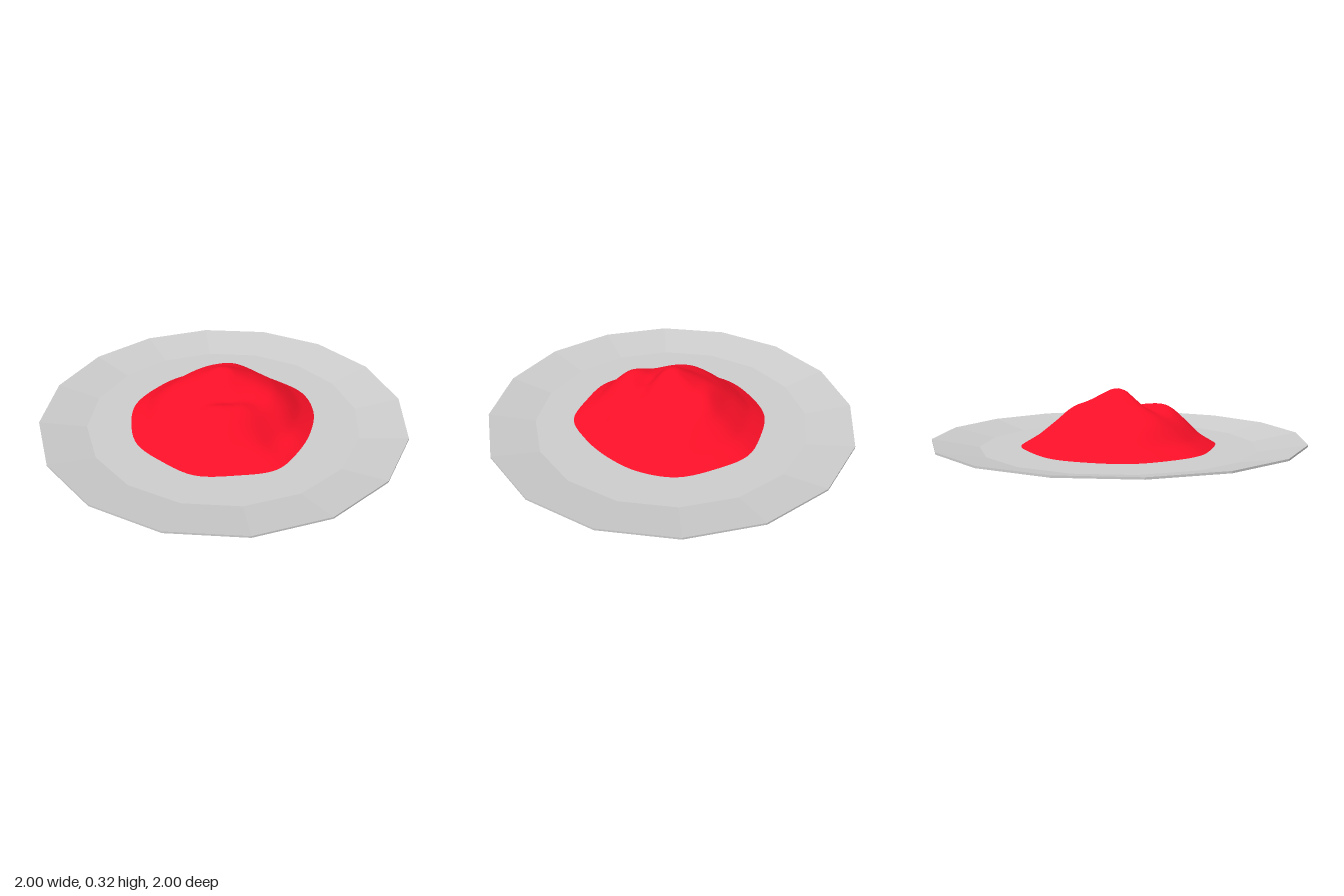
import * as THREE from 'three';

const FLOOR = 0.012;

// Outline radii every 22.5 degrees, from +x towards +z
const RADII = [0.51, 0.49, 0.5, 0.54, 0.52, 0.535, 0.51, 0.52,
  0.51, 0.52, 0.51, 0.52, 0.51, 0.53, 0.515, 0.53];
const outline = new THREE.CatmullRomCurve3(RADII.map((r, i) => {
  const a = (i / RADII.length) * Math.PI * 2;
  return new THREE.Vector3(r * Math.cos(a), 0, r * Math.sin(a));
}), true);

// Height of the heap from centre (0) to outline (1)
const slope = [[0, 0.322], [0.08, 0.315], [0.2, 0.282], [0.38, 0.232],
  [0.55, 0.178], [0.7, 0.12], [0.83, 0.065], [1, FLOOR]];
function slopeHeight(t) {
  const i = Math.min(slope.findIndex(([s]) => s >= t - 1e-9) || 1, slope.length - 1);
  const [[t0, y0], [t1, y1]] = [slope[i - 1], slope[i]];
  return y0 + ((y1 - y0) * (t - t0)) / (t1 - t0);
}

// Lumps and hollows: x, z, height, spread in x, spread in z
const lumps = [
  [0, 0.13, -0.06, 0.12, 0.05],
  [-0.05, 0.29, 0.035, 0.1, 0.07],
  [0.22, 0.34, -0.035, 0.1, 0.07],
  [0.3, 0.1, 0.02, 0.08, 0.1],
  [-0.33, 0, 0.025, 0.05, 0.09],
  [0.05, -0.23, 0.02, 0.1, 0.04],
  [-0.16, -0.03, -0.012, 0.04, 0.1],
];

function heapGeometry(rings = 32, sides = 80) {
  const pos = [], index = [];
  const rim = Array.from({ length: sides }, (_, j) => outline.getPoint(j / sides));
  for (let i = 0; i <= rings; i++) {
    const t = i / rings;
    for (const p of rim) {
      const x = p.x * t, z = p.z * t;
      let y = slopeHeight(t);
      const fade = Math.min(1, (1 - t) * 4);
      for (const [cx, cz, h, sx, sz] of lumps) {
        y += fade * h * Math.exp(-(((x - cx) / sx) ** 2 + ((z - cz) / sz) ** 2) / 2);
      }
      pos.push(x, Math.max(y, FLOOR), z);
    }
  }
  for (let i = 0; i < rings; i++) {
    for (let j = 0; j < sides; j++) {
      const k = (j + 1) % sides;
      const a = i * sides + j, b = i * sides + k;
      const c = a + sides, d = b + sides;
      if (i > 0) index.push(a, b, c);
      index.push(b, d, c);
    }
  }
  const geo = new THREE.BufferGeometry();
  geo.setAttribute('position', new THREE.Float32BufferAttribute(pos, 3));
  geo.setIndex(index);
  geo.computeVertexNormals();
  // The centre vertices share one upright normal
  for (let j = 0; j < sides; j++) geo.attributes.normal.setXYZ(j, 0, 1, 0);
  return geo;
}

export function createModel() {
  const group = new THREE.Group();

  // Sixteen-sided shallow plate with a sloped rim
  const profile = [[0, 0], [0.75, 0], [1, 0.05], [1, 0.06], [0.75, FLOOR], [0, FLOOR]];
  const plate = new THREE.Mesh(
    new THREE.LatheGeometry(profile.map(([x, y]) => new THREE.Vector2(x, y)), 16),
    new THREE.MeshStandardMaterial({ color: 0xcccccc, flatShading: true }),
  );
  plate.name = 'plate';

  // Lumpy heap of sauce in the middle
  const heap = new THREE.Mesh(
    heapGeometry(),
    new THREE.MeshStandardMaterial({ color: 0xff1028, side: THREE.DoubleSide }),
  );
  heap.name = 'sauceHeap';

  group.add(plate, heap);
  return group;
}
